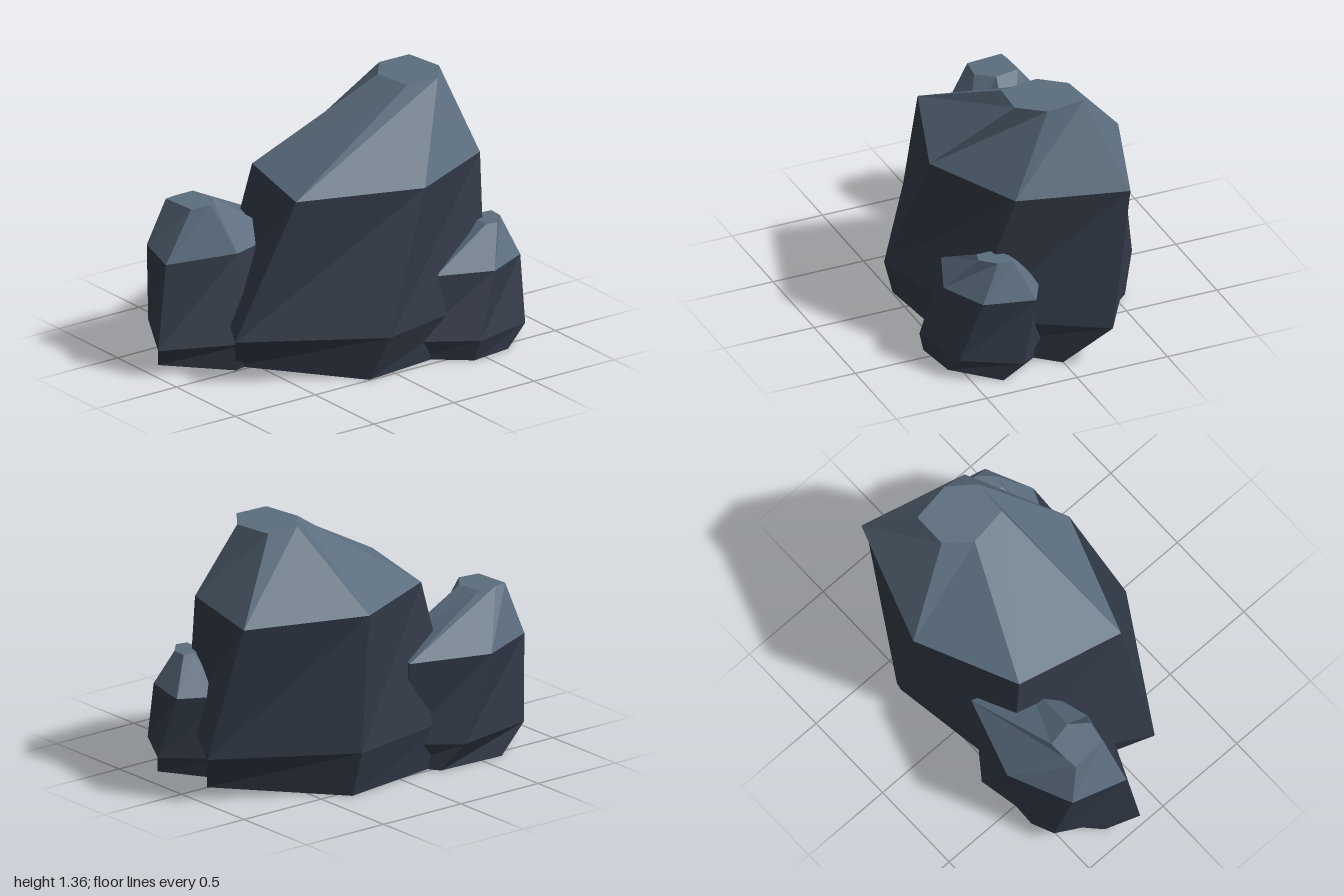
import * as THREE from 'three';

const FOOT_SHRINK = 0.95;

// The foot ring is the waist ring drawn in a little, with each corner slid
// by its own share of the way towards the corner before it.
function footRing(waist, slide) {
  const centre = new THREE.Vector3();
  waist.forEach((p) => centre.addScaledVector(p, 1 / waist.length));
  return waist.map((p, i) => {
    const previous = waist[(i + waist.length - 1) % waist.length];
    return p.clone().lerp(previous, slide[i]).sub(centre).multiplyScalar(FOOT_SHRINK).add(centre).setY(0);
  });
}

// Skin a stack of rings with flat facets, closing the bottom or the top.
function facets(rings, closeBottom, closeTop) {
  const points = [];
  const tri = (a, b, c) => points.push(a, b, c);
  const n = rings[0].length;
  for (let r = 0; r < rings.length - 1; r++) {
    const low = rings[r], high = rings[r + 1];
    for (let i = 0; i < n; i++) {
      const j = (i + 1) % n;
      tri(low[i], low[j], high[j]);
      tri(low[i], high[j], high[i]);
    }
  }
  const bottom = rings[0], top = rings[rings.length - 1];
  for (let i = 1; i < n - 1; i++) {
    if (closeBottom) tri(bottom[0], bottom[i + 1], bottom[i]);
    if (closeTop) tri(top[0], top[i], top[i + 1]);
  }
  const geometry = new THREE.BufferGeometry().setFromPoints(points);
  geometry.computeVertexNormals();
  return geometry;
}

// A ring is a height and six [x, z] corners: left, front, right, then back.
function ring(y, corners) {
  return corners.map(([x, z]) => new THREE.Vector3(x, y, z));
}

export function createModel() {
  const darkStone = new THREE.MeshStandardMaterial({ color: 0x303845 });
  darkStone.name = 'darkStone';
  const paleStone = new THREE.MeshStandardMaterial({ color: 0x5a6c7d });
  paleStone.name = 'paleStone';

  const model = new THREE.Group();
  model.name = 'rockCluster';

  // One rock: dark sides and underside, paler sloping cap.
  function addRock(name, slide, waist, shoulder, crown) {
    const rock = new THREE.Group();
    rock.name = name;
    const body = new THREE.Mesh(facets([footRing(waist, slide), waist, shoulder], true, false), darkStone);
    body.name = 'body';
    const cap = new THREE.Mesh(facets([shoulder, crown], false, true), paleStone);
    cap.name = 'cap';
    rock.add(body, cap);
    model.add(rock);
  }

  // Tall leaning rock in the middle
  addRock('mainRock', [0.35, 0.13, 0.22, 0.33, 0.05, 0.1],
    ring(0.235, [[-0.755, 0.165], [-0.085, 0.575], [0.62, 0.42], [0.995, -0.2], [0.325, -0.61], [-0.385, -0.476]]),
    ring(0.94, [[-0.425, 0.235], [0.215, 0.46], [0.735, 0.22], [0.88, -0.35], [0.245, -0.57], [-0.285, -0.33]]),
    ring(1.36, [[0.35, 0.125], [0.535, 0.135], [0.64, 0], [0.61, -0.213], [0.425, -0.215], [0.32, -0.085]]));

  // Smallest rock, front left of the model
  addRock('smallFrontRock', [0.1, 0.08, 0.33, 0.3, 0.1, 0.15],
    ring(0.11, [[0.16, 0.43], [0.445, 0.62], [0.775, 0.55], [0.94, 0.265], [0.68, 0.03], [0.27, 0.1]]),
    ring(0.435, [[0.3, 0.435], [0.585, 0.55], [0.825, 0.44], [0.89, 0.175], [0.68, 0.06], [0.38, 0.17]]),
    ring(0.625, [[0.645, 0.395], [0.705, 0.41], [0.775, 0.335], [0.78, 0.255], [0.72, 0.25], [0.645, 0.3]]));

  // Middle-sized rock, back right of the model
  addRock('smallBackRock', [0.38, 0.13, 0.2, 0.25, 0.38, 0.33],
    ring(0.145, [[-1, -0.155], [-0.57, 0.035], [-0.22, -0.12], [-0.07, -0.43], [-0.33, -0.625], [-0.78, -0.54]]),
    ring(0.585, [[-0.93, -0.185], [-0.545, -0.1], [-0.2, -0.2], [-0.09, -0.48], [-0.51, -0.615], [-0.84, -0.47]]),
    ring(0.845, [[-0.765, -0.195], [-0.65, -0.18], [-0.58, -0.27], [-0.605, -0.4], [-0.71, -0.4], [-0.78, -0.39]]));

  return model;
}
